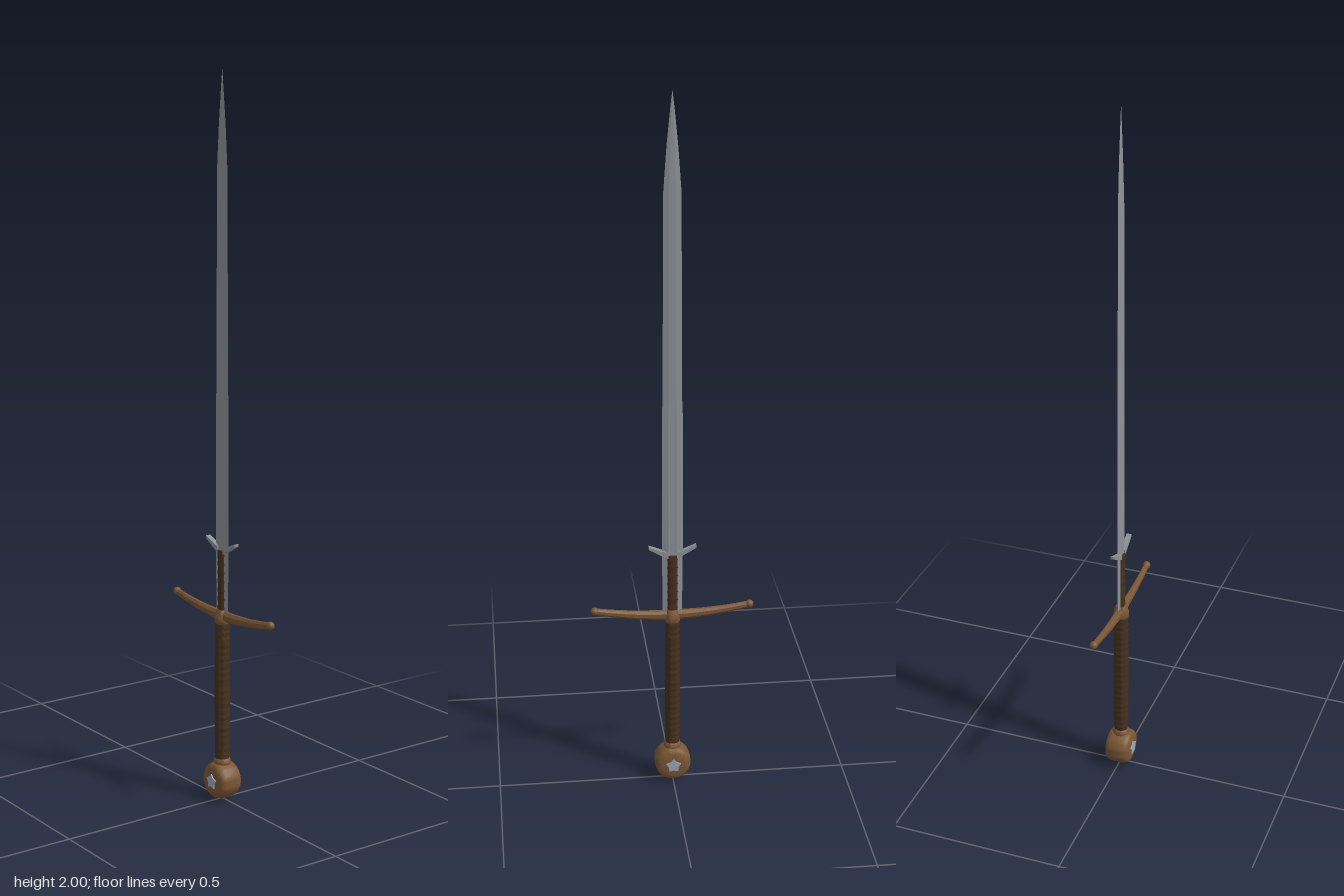
import * as THREE from 'three';
import { toCreasedNormals } from 'three/addons/utils/BufferGeometryUtils.js';

const paint = (name, color) => {
  const m = new THREE.MeshStandardMaterial({ color });
  m.name = name;
  return m;
};

// Skin a series of equal-sized point rings and cap both ends.
function loft(rings, crease) {
  const n = rings[0].length, pos = [], idx = [];
  rings.forEach(r => r.forEach(p => pos.push(...p)));
  for (let i = 0; i < rings.length - 1; i++) {
    for (let j = 0; j < n; j++) {
      const a = i * n + j, b = i * n + (j + 1) % n;
      idx.push(a, b, b + n, a, b + n, a + n);
    }
  }
  const last = (rings.length - 1) * n;
  for (let j = 1; j < n - 1; j++) {
    idx.push(0, j + 1, j, last, last + j, last + j + 1);
  }
  const g = new THREE.BufferGeometry();
  g.setAttribute('position', new THREE.Float32BufferAttribute(pos, 3));
  g.setIndex(idx);
  return toCreasedNormals(g, crease);
}

const lathe = (pts, segments = 24, crease = 0.7) => toCreasedNormals(
  new THREE.LatheGeometry(pts.map(([r, y]) => new THREE.Vector2(r, y)), segments), crease);

export function createModel() {
  const steel = paint('blade steel', 0x8e9398);
  const silver = paint('pale silver', 0x98a8ba);
  const bronze = paint('bronze', 0x7a5634);
  const leather = paint('leather', 0x47301d);
  const sword = new THREE.Group();
  sword.name = 'sword';

  const add = (name, geometry, material, x = 0, y = 0, z = 0, parent = sword) => {
    const m = new THREE.Mesh(geometry, material);
    m.name = name;
    m.position.set(x, y, z);
    parent.add(m);
    return m;
  };

  // Blade: [height, half width, half thickness, fuller depth]
  const stations = [
    [0.53, 0.027, 0.0045, 0.0008], [0.72, 0.029, 0.0045, 0.0008],
    [1.12, 0.0285, 0.004, 0.0008], [1.17, 0.0265, 0.0035, 0],
    [1.74, 0.0235, 0.003, 0], [1.86, 0.015, 0.0022, 0],
    [1.95, 0.006, 0.0013, 0], [2, 0.0003, 0.0003, 0],
  ];
  add('blade', loft(stations.map(([y, w, t, f]) => [
    [0, y, t - f], [w * 0.22, y, t - f], [w * 0.38, y, t], [w, y, 0],
    [w * 0.38, y, -t], [w * 0.22, y, f - t], [0, y, f - t],
    [-w * 0.22, y, f - t], [-w * 0.38, y, -t], [-w, y, 0],
    [-w * 0.38, y, t], [-w * 0.22, y, t - f],
  ]), 0.05), steel);

  // Upswept parrying lugs: [x, height, half thickness]
  const lugPath = [[0.012, 0.714, 0.009], [0.03, 0.722, 0.007], [0.048, 0.731, 0.0055], [0.066, 0.74, 0.004]];
  for (const s of [1, -1]) {
    const rings = lugPath.map(([x, y, h]) => {
      const ring = [[s * x, y + h, -0.007], [s * x, y + h, 0.007], [s * x, y - h, 0.007], [s * x, y - h, -0.007]];
      return s > 0 ? ring : ring.reverse();
    });
    add(s > 0 ? 'leftLug' : 'rightLug', loft(rings, 0.4), steel);
  }

  // Leather wrap over the blade's base
  const wrap = [[0, 0.54]];
  for (let i = 0; i <= 28; i++) wrap.push([0.0145 + (i % 4 === 2 ? 0.0015 : 0), 0.54 + i * 0.0062]);
  wrap.push([0, 0.715]);
  add('baseWrap', lathe(wrap, 16), leather).scale.z = 0.75;

  // Curved, tapering crossguard with ball ends
  const guardRings = [];
  for (let i = 0; i <= 24; i++) {
    const x = -0.22 + i * 0.44 / 24, u = Math.abs(x) / 0.22;
    const y = 0.529 + 0.022 * u * u, h = 0.0145 - 0.0055 * u, d = 0.011 - 0.004 * u;
    const ring = [];
    for (let k = 0; k < 8; k++) {
      const a = (k + 0.5) * Math.PI / 4;
      ring.push([x, y + h * Math.cos(a) * 1.08, d * Math.sin(a) * 1.08]);
    }
    guardRings.push(ring);
  }
  add('crossguard', loft(guardRings, 0.5), bronze);
  for (const s of [1, -1]) {
    add(s > 0 ? 'leftGuardBall' : 'rightGuardBall', new THREE.SphereGeometry(0.0115, 16, 12), bronze, s * 0.218, 0.551);
  }
  add('guardCollar', lathe([[0, 0.507], [0.019, 0.507], [0.022, 0.512], [0.022, 0.526],
    [0.019, 0.536], [0.014, 0.547], [0, 0.547]]), bronze);

  // Ridged leather grip
  const grip = [[0, 0.105]];
  const steps = 88;
  for (let i = 0; i <= steps; i++) {
    const t = i / steps;
    const swell = 0.0195 + 0.0015 * Math.sin(Math.PI * t);
    grip.push([swell + (i % 4 === 2 ? 0.0015 : 0), 0.105 + t * 0.405]);
  }
  grip.push([0, 0.51]);
  add('grip', lathe(grip), leather);
  add('gripCollar', lathe([[0, 0.1], [0.022, 0.1], [0.025, 0.107], [0.022, 0.117], [0.018, 0.121], [0, 0.121]]), bronze);

  // Thick disc pommel with an inlaid star on both faces
  const pommel = new THREE.Group();
  pommel.name = 'pommel';
  pommel.position.y = 0.056;
  sword.add(pommel);
  add('pommelDisc', lathe([[0, -0.036], [0.034, -0.036], [0.042, -0.034], [0.048, -0.028], [0.051, -0.019],
    [0.052, 0], [0.051, 0.019], [0.048, 0.028], [0.042, 0.034], [0.034, 0.036], [0, 0.036]], 40),
  bronze, 0, 0, 0, pommel).rotation.x = Math.PI / 2;
  const star = new THREE.Shape();
  for (let i = 0; i < 10; i++) {
    const a = Math.PI / 2 + i * Math.PI / 5, r = i % 2 ? 0.0145 : 0.022;
    star[i ? 'lineTo' : 'moveTo'](r * Math.cos(a), r * Math.sin(a));
  }
  star.closePath();
  const inlay = new THREE.ExtrudeGeometry(star, { depth: 0.004, bevelEnabled: false });
  add('frontStar', inlay, silver, 0, 0, 0.0355, pommel);
  add('backStar', inlay, silver, 0, 0, -0.0355, pommel).rotation.y = Math.PI;

  // Small rivet under the pommel
  add('pommelRivet', new THREE.CylinderGeometry(0.012, 0.008, 0.012, 16), bronze, 0, 0.006);

  return sword;
}
